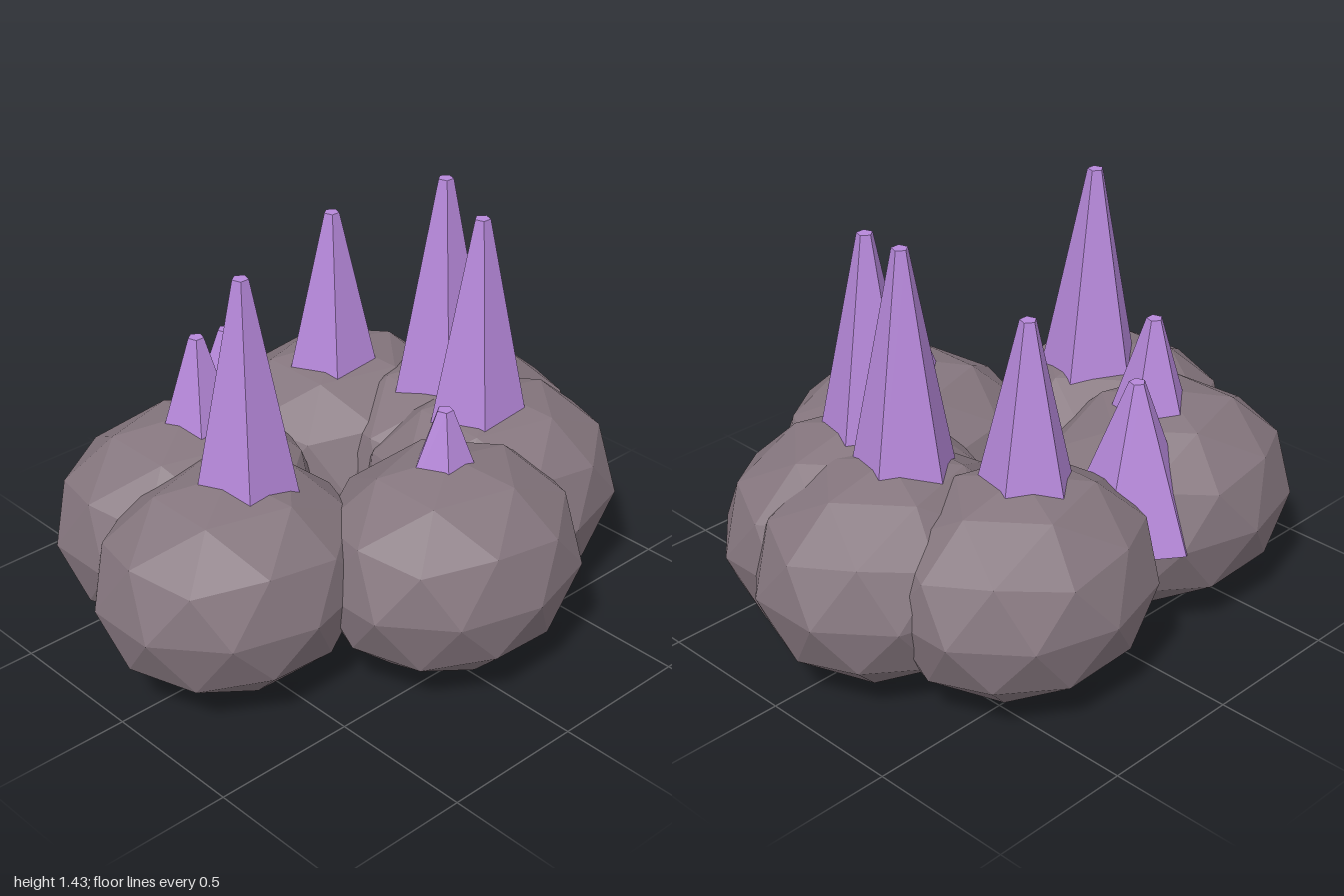
import * as THREE from 'three';

const rockMaterial = new THREE.MeshStandardMaterial({ color: 0x85767e, flatShading: true });
rockMaterial.name = 'warm grey rock';
const crystalMaterial = new THREE.MeshStandardMaterial({ color: 0xb688da, flatShading: true });
crystalMaterial.name = 'violet crystal';

const CENTER_Y = 0.373;

// Boulder positions [x, z] around the ring
const ROCKS = [
  [0.04, 0.415], [0.46, 0.195], [0.545, -0.06],
  [0.33, -0.425], [-0.41, -0.37], [-0.547, 0.02],
];

// Crystals [x, z, tip height]
const CRYSTALS = [
  [-0.477, 0.02, 1.4], [-0.358, -0.358, 1.02], [-0.128, -0.49, 0.92],
  [0.287, -0.41, 1.25], [0.472, -0.055, 1.43], [0.398, 0.185, 1.385],
  [0.038, 0.388, 0.905],
];

// Flattened icosphere standing on one of its five-fold corners
function rockGeometry() {
  const g = new THREE.IcosahedronGeometry(1, 1);
  g.rotateZ(-Math.atan(2 / (1 + Math.sqrt(5))));
  g.scale(0.476, 0.37, 0.416);
  g.computeVertexNormals();
  return g;
}

// Five-sided blunt spike rooted at the middle of the rocks
function crystalGeometry(tip) {
  const height = tip - CENTER_Y;
  const g = new THREE.CylinderGeometry(0.027, 0.232, height, 5, 1, false, Math.PI);
  g.translate(0, height / 2, 0);
  return g;
}

export function createModel() {
  const model = new THREE.Group();
  model.name = 'crystalRockCluster';

  // Ring of boulders
  const rocks = new THREE.Group();
  rocks.name = 'rocks';
  const boulder = rockGeometry();
  ROCKS.forEach(([x, z], i) => {
    const rock = new THREE.Mesh(boulder, rockMaterial);
    rock.name = `rock${i + 1}`;
    rock.position.set(x, CENTER_Y, z);
    rocks.add(rock);
  });

  // Crystals growing out of the boulders
  const crystals = new THREE.Group();
  crystals.name = 'crystals';
  CRYSTALS.forEach(([x, z, tip], i) => {
    const crystal = new THREE.Mesh(crystalGeometry(tip), crystalMaterial);
    crystal.name = `crystal${i + 1}`;
    crystal.position.set(x, CENTER_Y, z);
    crystals.add(crystal);
  });

  model.add(rocks, crystals);
  return model;
}
